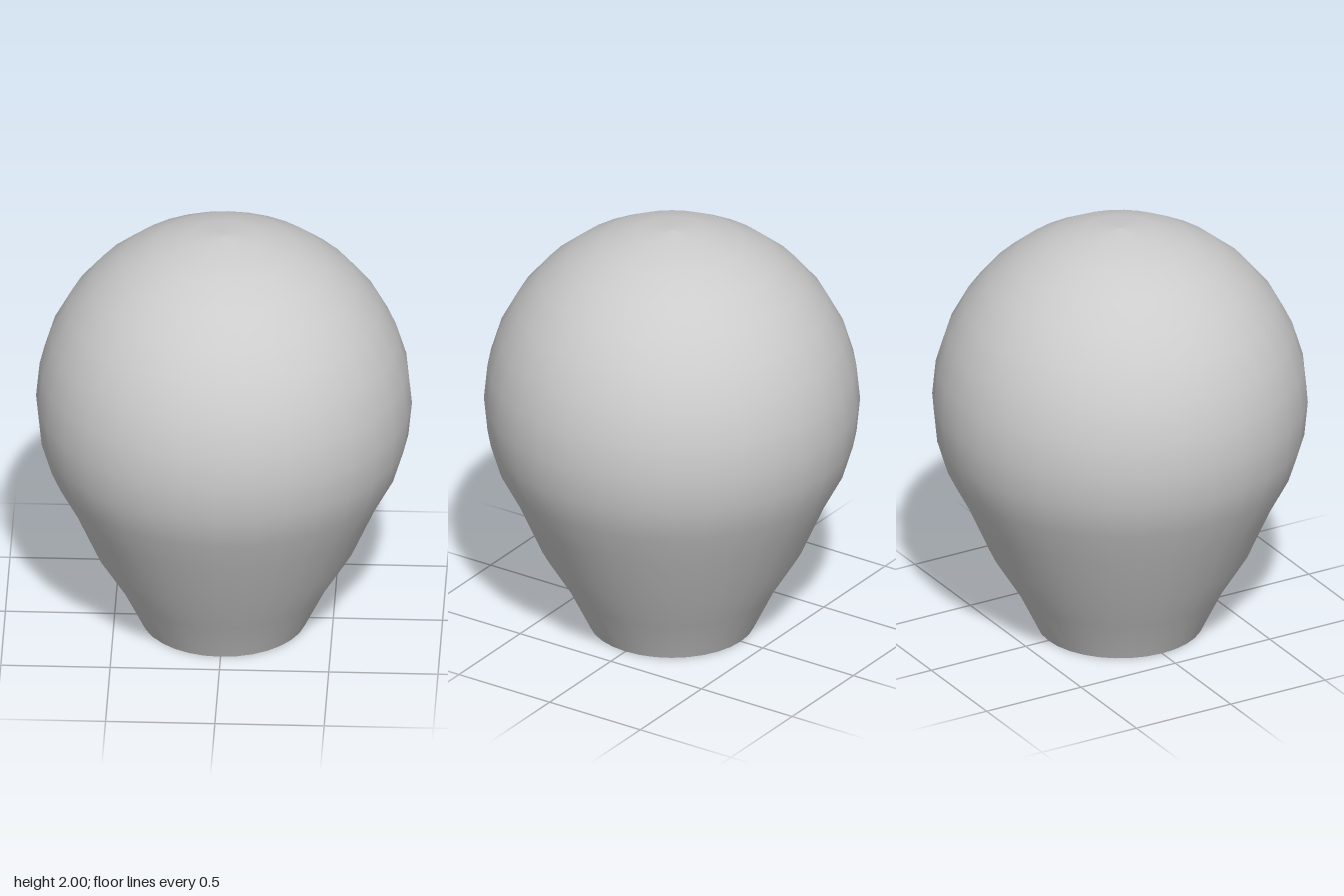
import * as THREE from 'three';

export function createModel() {
  const group = new THREE.Group();
  const radius = 0.86, centerY = 1.14;

  // Tapering neck, from the open rim upwards
  const profile = [[0.38, 0], [0.48, 0.205], [0.6, 0.4], [0.707, 0.645]]
    .map(([x, y]) => new THREE.Vector2(x, y));

  // Round bulb, from just above the neck to the crown
  for (let i = -2; i <= 8; i++) {
    const a = (i * Math.PI) / 16;
    profile.push(new THREE.Vector2(i === 8 ? 0 : radius * Math.cos(a), centerY + radius * Math.sin(a)));
  }

  // Thin smooth shell, open at the bottom
  const bulb = new THREE.Mesh(
    new THREE.LatheGeometry(profile, 32),
    new THREE.MeshStandardMaterial({ color: 0xcccccc, side: THREE.DoubleSide })
  );
  bulb.name = 'bulbShell';
  group.add(bulb);
  return group;
}
